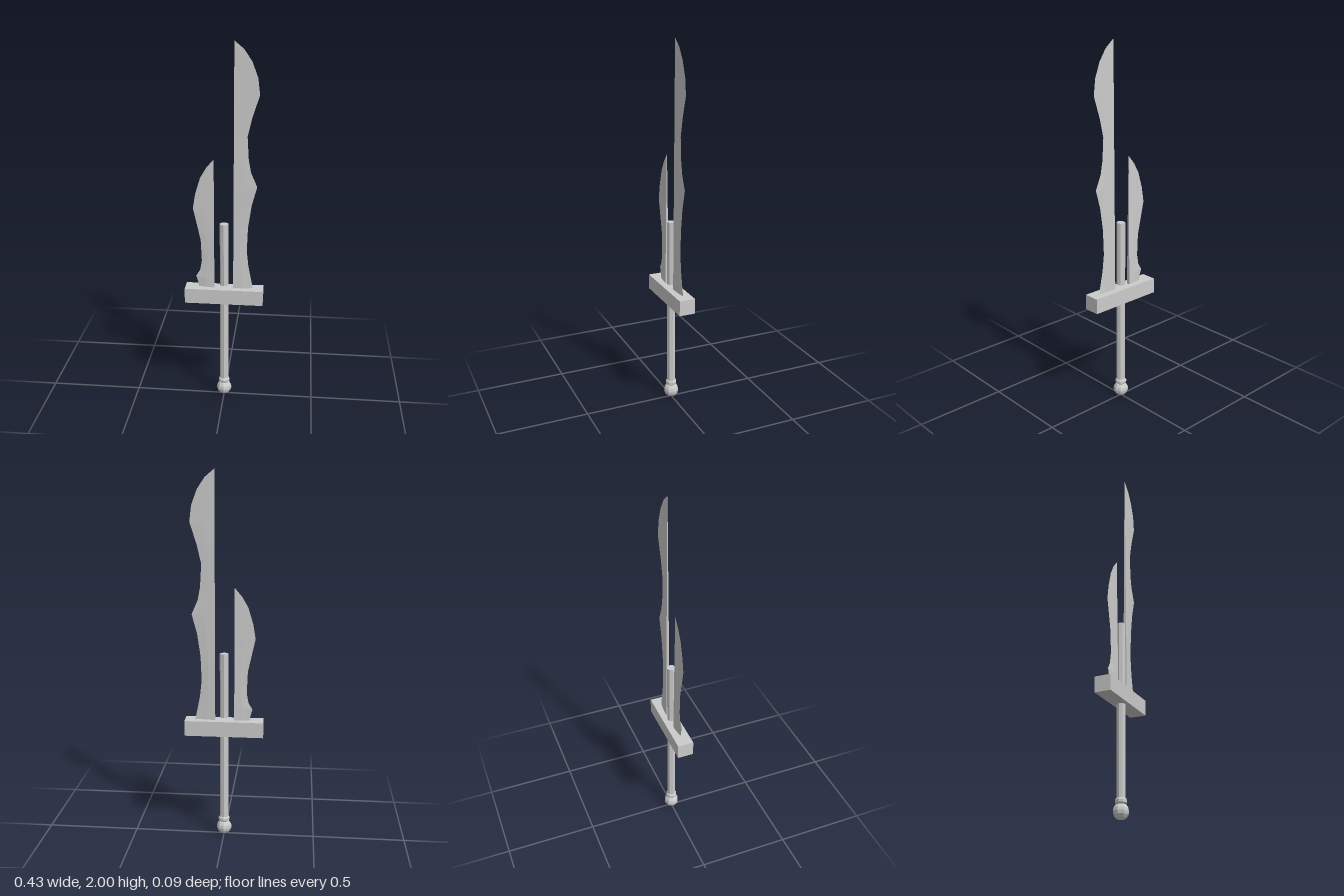
import * as THREE from 'three';

const material = new THREE.MeshStandardMaterial({ color: 0xcccccc, flatShading: true });

function add(group, name, geometry, y = 0) {
  const mesh = new THREE.Mesh(geometry, material);
  mesh.name = name;
  mesh.position.y = y;
  group.add(mesh);
  return mesh;
}

// Wedge blade lofted from base to tip: flat spine at spineX, sharp edge along [x, y] points
function bladeGeometry(spineX, edge) {
  const y0 = edge[0][1], y1 = edge[edge.length - 1][1];
  const side = Math.sign(spineX);
  const positions = [], index = [];
  for (const [x, y] of edge) {
    const t = 0.01 * (1 - 0.92 * (y - y0) / (y1 - y0));
    const mid = THREE.MathUtils.lerp(spineX, x, 0.5);
    positions.push(spineX, y, -t, spineX, y, t, mid, y, t * 0.65, x, y, 0, mid, y, -t * 0.65);
  }
  const n = 5;
  const tri = (a, b, c) => index.push(...(side > 0 ? [a, b, c] : [a, c, b]));
  for (let r = 0; r < edge.length - 1; r++) {
    for (let k = 0; k < n; k++) {
      const a = r * n + k, b = r * n + (k + 1) % n;
      tri(a, b, b + n);
      tri(a, b + n, a + n);
    }
  }
  // Base and tip caps
  const top = (edge.length - 1) * n;
  for (let k = 1; k < n - 1; k++) {
    tri(0, k + 1, k);
    tri(top, top + k, top + k + 1);
  }
  const geometry = new THREE.BufferGeometry();
  geometry.setAttribute('position', new THREE.Float32BufferAttribute(positions, 3));
  geometry.setIndex(index);
  const flat = geometry.toNonIndexed();
  flat.computeVertexNormals();
  return flat;
}

export function createModel() {
  const model = new THREE.Group();
  model.name = 'twinBladeSword';

  // Pommel ball and collar
  add(model, 'pommel', new THREE.SphereGeometry(0.042, 8, 8), 0.042);
  const collar = [[0, 0.076], [0.024, 0.076], [0.031, 0.083], [0.031, 0.098], [0.024, 0.106], [0, 0.106]];
  add(model, 'pommelCollar', new THREE.LatheGeometry(collar.map(([x, y]) => new THREE.Vector2(x, y)), 8));

  // Octagonal grip, crossguard and the short post floating just above the guard
  add(model, 'grip', new THREE.CylinderGeometry(0.024, 0.024, 0.51, 8), 0.345);
  add(model, 'crossguard', new THREE.BoxGeometry(0.426, 0.084, 0.088), 0.631);
  add(model, 'centrePost', new THREE.CylinderGeometry(0.024, 0.024, 0.354, 8), 0.866);

  // Long blade on the left, with two barbs
  add(model, 'longBlade', bladeGeometry(0.05, [
    [0.158, 0.67], [0.132, 0.8], [0.122, 0.89], [0.127, 1.025], [0.145, 1.15], [0.173, 1.253],
    [0.14, 1.33], [0.127, 1.4], [0.12, 1.52], [0.143, 1.62], [0.18, 1.735],
    [0.17, 1.82], [0.14, 1.9], [0.1, 1.96], [0.052, 2]]));

  // Short blade on the right
  add(model, 'shortBlade', bladeGeometry(-0.055, [
    [-0.138, 0.67], [-0.143, 0.7], [-0.154, 0.734], [-0.132, 0.77], [-0.122, 0.825], [-0.127, 0.945],
    [-0.148, 1.04], [-0.167, 1.126], [-0.154, 1.205], [-0.127, 1.295], [-0.095, 1.35], [-0.057, 1.395]]));

  return model;
}
